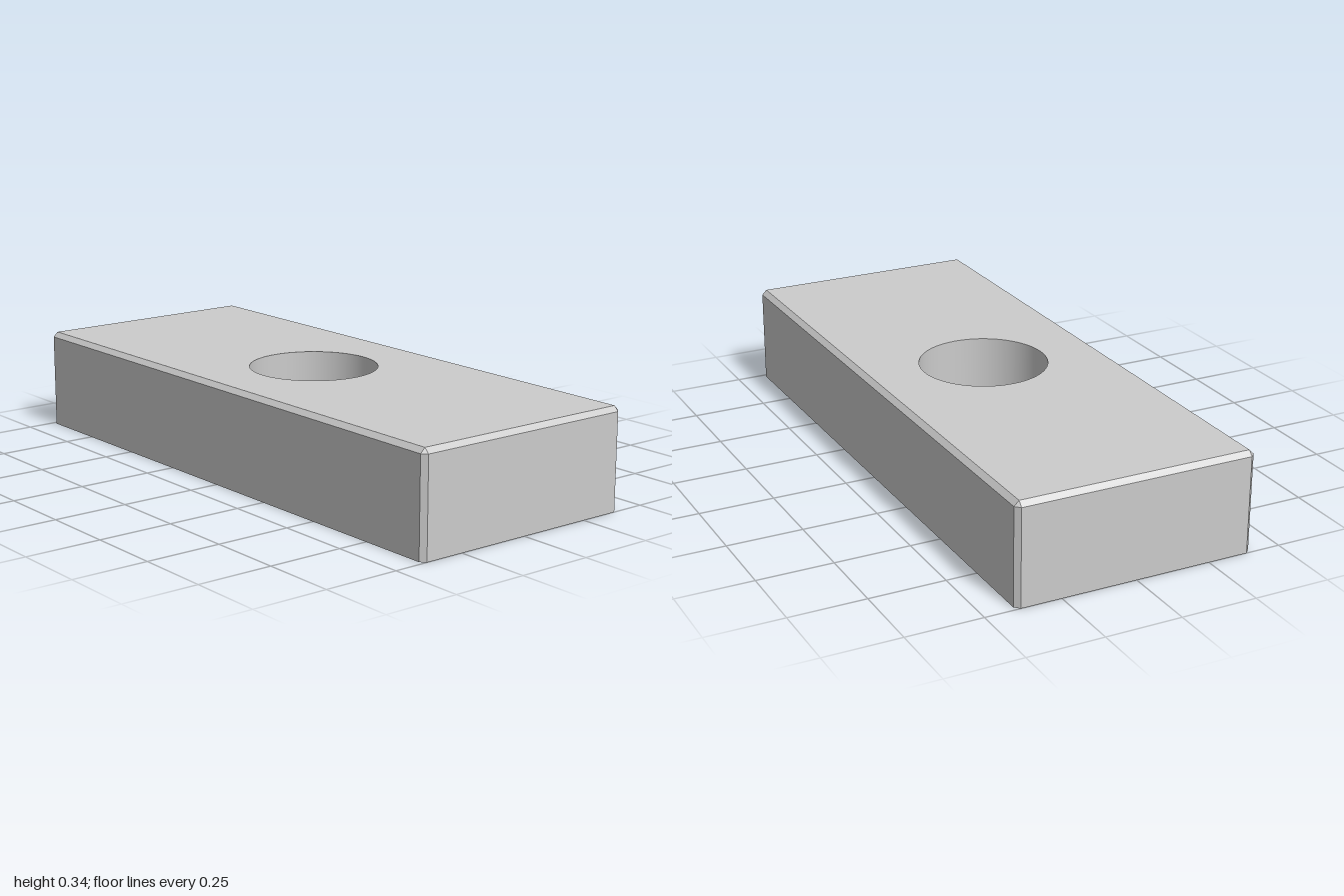
import * as THREE from 'three';

const W = 0.4, L = 1, H = 0.335, C = 0.016;   // half width, half length, height, chamfer
const PANEL_W = 0.346, PANEL_L = 0.952;       // half size of the underside panel
const BORE_R = 0.212, HOLE_R = 0.077, HOLE_Z = 0.6, HOLE_DEPTH = 0.2;
const SEG = 64;

const grey = new THREE.MeshStandardMaterial({ color: 0xcccccc });
const greyFlat = new THREE.MeshStandardMaterial({ color: 0xcccccc, flatShading: true });

// Counter-clockwise outlines seen from above, as [x, -z]
const rect = (w, l) => [[-w, -l], [w, -l], [w, l], [-w, l]];
const outline = [
  [-W + C, -L], [W - C, -L], [W, -L + C], [W, L - C],
  [W - C, L], [-W + C, L], [-W, L - C], [-W, -L + C],
];
// The same outline with each cut corner drawn in to a single point
const topOutline = outline.map(([x, y]) => [Math.sign(x) * (W - C), Math.sign(y) * (L - C)]);

function toShape(points, holes = []) {
  const shape = new THREE.Shape(points.map(([x, y]) => new THREE.Vector2(x, y)));
  shape.holes.push(...holes);
  return shape;
}

function circle(r, y = 0) {
  const path = new THREE.Path();
  path.absarc(0, y, r, 0, Math.PI * 2, true);
  return path;
}

// Flat face lying at a given height, facing up or down
function face(shape, y, up) {
  const g = new THREE.ShapeGeometry(shape, SEG / 2);
  g.rotateX(up ? -Math.PI / 2 : Math.PI / 2);
  return g.translate(0, y, 0);
}

// Band of faces joining two or more matching outlines
function loft(rings) {
  const pos = [];
  for (let k = 0; k < rings.length - 1; k++) {
    const [lo, hi] = [rings[k], rings[k + 1]];
    lo.points.forEach((_, i) => {
      const j = (i + 1) % lo.points.length;
      const p = (ring, n) => [ring.points[n][0], ring.y, -ring.points[n][1]];
      const [a, b, c, d] = [p(lo, i), p(lo, j), p(hi, j), p(hi, i)];
      pos.push(...a, ...b, ...c);
      if (c.some((v, n) => v !== d[n])) pos.push(...a, ...c, ...d);
    });
  }
  const g = new THREE.BufferGeometry();
  g.setAttribute('position', new THREE.Float32BufferAttribute(pos, 3));
  g.computeVertexNormals();
  return g;
}

// Round wall facing its own axis
const holeWall = (r, depth) =>
  new THREE.LatheGeometry([new THREE.Vector2(r, depth), new THREE.Vector2(r, 0)], SEG);

export function createModel() {
  const model = new THREE.Group();
  model.name = 'drilledBlock';
  const add = (name, geometry, material = grey) => {
    const mesh = new THREE.Mesh(geometry, material);
    mesh.name = name;
    model.add(mesh);
    return mesh;
  };

  // Sides with cut corners, then the chamfer round the top
  add('sides', loft([
    { points: outline, y: 0 },
    { points: outline, y: H - C },
    { points: topOutline, y: H },
  ]), greyFlat);

  // Top face with the central bore
  add('topFace', face(toShape(rect(W - C, L - C), [circle(BORE_R)]), H, true));
  add('bore', holeWall(BORE_R, H));

  // Underside: outer rim and a flush panel with three holes
  const opening = new THREE.Path(toShape(rect(PANEL_W, PANEL_L)).getPoints().reverse());
  add('bottomRim', face(toShape(outline, [opening]), 0, false));
  add('bottomPanel', face(toShape(rect(PANEL_W, PANEL_L),
    [circle(BORE_R), circle(HOLE_R, HOLE_Z), circle(HOLE_R, -HOLE_Z)]), 0, false));

  // Two blind holes in the underside
  for (const [side, z] of [['front', HOLE_Z], ['back', -HOLE_Z]]) {
    add(side + 'HoleWall', holeWall(HOLE_R, HOLE_DEPTH)).position.z = z;
    const end = new THREE.CircleGeometry(HOLE_R, SEG).rotateX(Math.PI / 2);
    add(side + 'HoleEnd', end).position.set(0, HOLE_DEPTH, z);
  }
  return model;
}
